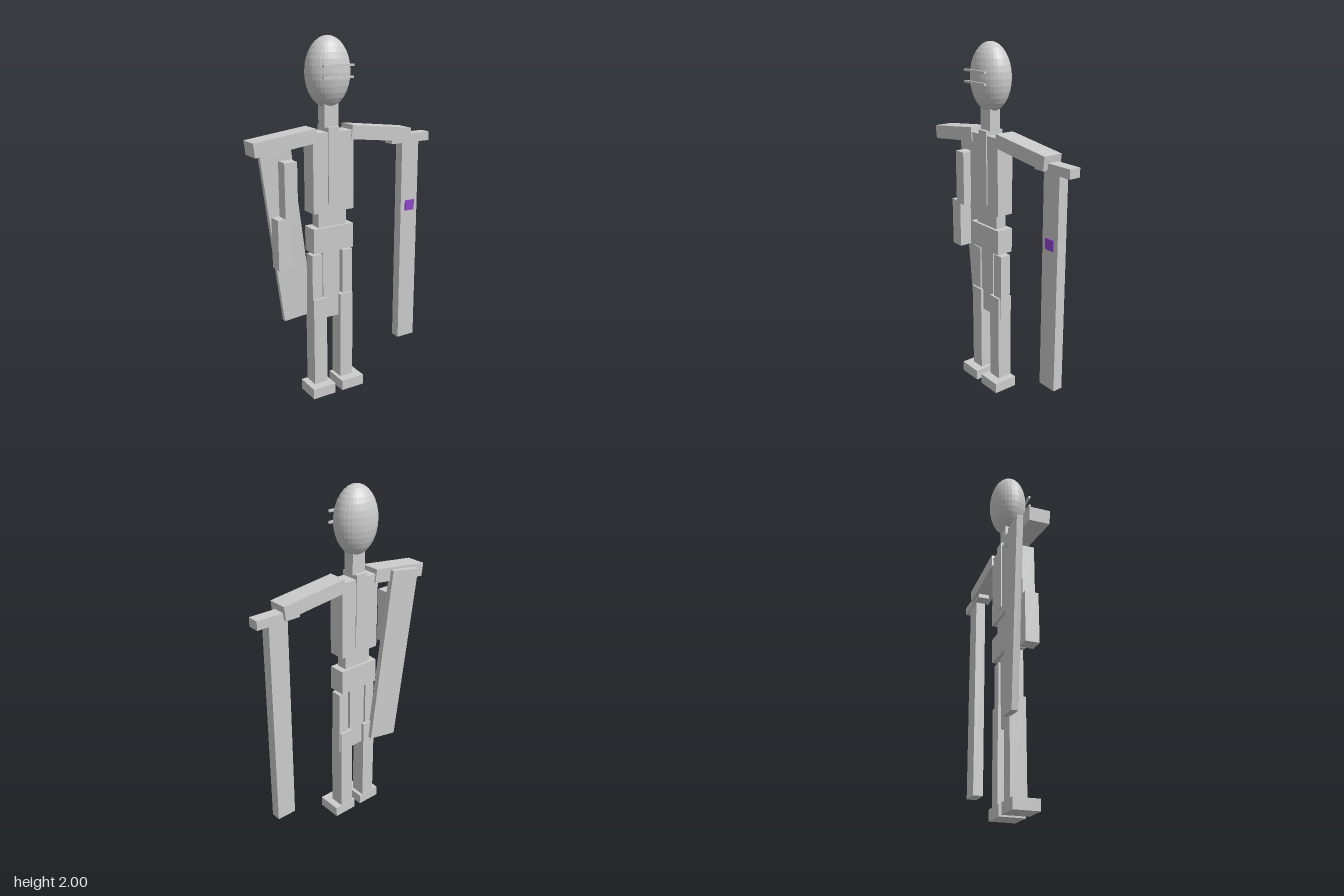
import * as THREE from 'three';

export function createModel() {
  const model = new THREE.Group();
  const grey = new THREE.MeshStandardMaterial({ color: 0xcccccc, flatShading: true });
  grey.name = 'stoneGrey';
  const purple = new THREE.MeshStandardMaterial({ color: 0x9048cc });
  purple.name = 'gemPurple';

  // Box given by its lower and upper limits on each axis
  function block(name, [x0, x1], [y0, y1], [z0, z1], material = grey) {
    const mesh = new THREE.Mesh(new THREE.BoxGeometry(x1 - x0, y1 - y0, z1 - z0), material);
    mesh.position.set((x0 + x1) / 2, (y0 + y1) / 2, (z0 + z1) / 2);
    mesh.name = name;
    model.add(mesh);
    return mesh;
  }

  // Box given by centre, size and rotation
  function tilted(name, size, position, rotation) {
    const mesh = new THREE.Mesh(new THREE.BoxGeometry(...size), grey);
    mesh.position.set(...position);
    mesh.rotation.set(...rotation);
    mesh.name = name;
    model.add(mesh);
    return mesh;
  }

  // Egg-shaped head with two visor bars
  const head = new THREE.Mesh(new THREE.SphereGeometry(1, 32, 16), grey);
  head.scale.set(0.126, 0.185, 0.103);
  head.position.set(-0.1, 1.815, -0.006);
  head.name = 'head';
  model.add(head);
  for (const y of [1.793, 1.853]) {
    block('visorBar', [-0.187, -0.008], [y - 0.006, y + 0.006], [0.094, 0.107]);
  }

  // Neck, trunk and hips
  block('neck', [-0.142, -0.057], [1.53, 1.66], [-0.034, 0.032]);
  block('spine', [-0.132, -0.065], [1.12, 1.535], [-0.058, 0.054]);
  block('torso', [-0.222, 0.028], [1.075, 1.51], [-0.053, 0.047]);
  block('waist', [-0.185, -0.008], [0.98, 1.08], [-0.035, 0.03]);
  block('pelvis', [-0.222, 0.028], [0.85, 0.99], [-0.052, 0.046]);
  block('loincloth', [-0.155, -0.048], [0.45, 0.86], [-0.03, 0.025]);

  // Legs
  const legs = [
    { side: 'right', thigh: [-0.225, -0.162], shin: [-0.225, -0.142], foot: [-0.262, -0.12] },
    { side: 'left', thigh: [-0.03, 0.033], shin: [-0.054, 0.028], foot: [-0.074, 0.07] },
  ];
  for (const leg of legs) {
    block(leg.side + 'Thigh', leg.thigh, [0.45, 0.835], [-0.035, 0.03]);
    block(leg.side + 'Shin', leg.shin, [0.05, 0.578], [-0.047, 0.042]);
    block(leg.side + 'Foot', leg.foot, [0, 0.06], [-0.05, 0.095]);
  }

  // Sloping shoulders and the hanging right arm
  tilted('rightShoulder', [0.36, 0.076, 0.114], [-0.38, 1.476, -0.004], [0, 0, 0.122]);
  tilted('leftShoulder', [0.392, 0.076, 0.114], [0.21, 1.474, -0.004], [0, 0, -0.122]);
  block('rightUpperArm', [-0.385, -0.31], [1.057, 1.37], [-0.035, 0.035]);
  block('rightForearm', [-0.43, -0.35], [0.79, 1.07], [-0.04, 0.035]);

  // Slanted plank on the back
  tilted('backPlank', [0.176, 1.045, 0.035], [-0.334, 0.98, -0.068], [0, -0.1, 0.122]);

  // Sword held point down, with a purple inlay
  block('swordGuard', [0.3, 0.56], [1.4, 1.45], [-0.044, 0.023]);
  block('swordBlade', [0.372, 0.487], [0.195, 1.4], [-0.036, 0.022]);
  block('swordGem', [0.401, 0.461], [1.0, 1.06], [0.021, 0.03], purple);

  return model;
}
